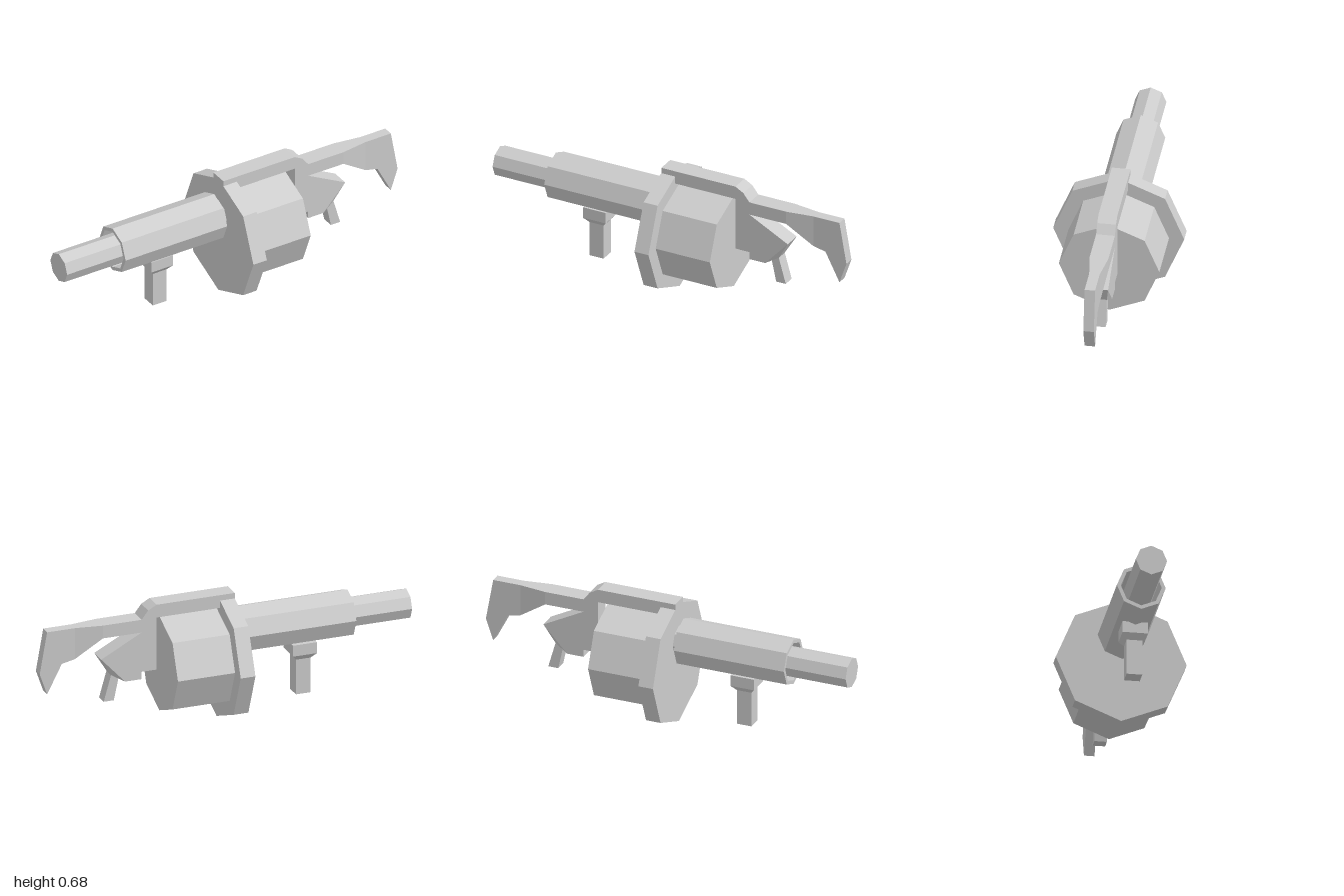
import * as THREE from 'three';

const material = new THREE.MeshStandardMaterial({ color: 0xcccccc, flatShading: true });

function part(name, geometry) {
  const mesh = new THREE.Mesh(geometry, material);
  mesh.name = name;
  return mesh;
}

// Faceted part turned around the x axis; profile holds [radius, x] pairs
function turned(name, profile, y, sides = 8) {
  const geometry = new THREE.LatheGeometry(profile.map(([r, x]) => new THREE.Vector2(r, x)), sides);
  geometry.rotateZ(-Math.PI / 2).translate(0, y, 0);
  return part(name, geometry);
}

const solid = (r, x0, x1) => [[0, x0], [r, x0], [r, x1], [0, x1]];

// Slab mirrored across z = 0: counter-clockwise outline of [x, y, half width],
// with its flat sides given as lists of outline indices
function slab(name, outline, sides) {
  const positions = [];
  const push = (i, s) => positions.push(outline[i][0], outline[i][1], s * outline[i][2]);
  for (const side of sides) {
    const contour = side.map((i) => new THREE.Vector2(outline[i][0], outline[i][1]));
    for (const [a, b, c] of THREE.ShapeUtils.triangulateShape(contour, [])) {
      for (const k of [a, b, c]) push(side[k], 1);
      for (const k of [a, c, b]) push(side[k], -1);
    }
  }
  outline.forEach((_, i) => {
    const j = (i + 1) % outline.length;
    push(i, 1); push(i, -1); push(j, -1);
    push(i, 1); push(j, -1); push(j, 1);
  });
  const geometry = new THREE.BufferGeometry();
  geometry.setAttribute('position', new THREE.Float32BufferAttribute(positions, 3));
  geometry.computeVertexNormals();
  return part(name, geometry);
}

export function createModel() {
  const group = new THREE.Group();
  group.name = 'drumLauncher';

  // Barrel inside a hollow sleeve
  group.add(turned('barrel', solid(0.08, -1, -0.04), 0.46));
  group.add(turned('barrelSleeve',
    [[0.105, -0.68], [0.125, -0.68], [0.125, -0.075], [0.105, -0.075], [0.105, -0.68]], 0.46));

  // Drum with its wide front plate
  group.add(turned('drumPlate', solid(0.335, -0.05, 0.03), 0.335));
  group.add(turned('drum', solid(0.257, 0.02, 0.34), 0.335));

  // Square front grip, flared where it meets the sleeve
  const gripProfile = [[0, 0.07], [0.04, 0.07], [0.04, 0.26], [0.065, 0.29], [0.065, 0.35], [0, 0.35]];
  const grip = new THREE.LatheGeometry(
    gripProfile.map(([h, y]) => new THREE.Vector2(h * Math.SQRT2, y)), 4);
  grip.rotateY(Math.PI / 4).translate(-0.425, 0, 0);
  group.add(part('frontGrip', grip));

  // Top rail, rear grip and stock in one outline of changing width
  const wide = 0.048, leg = 0.032, thin = 0.027;
  const outline = [
    [-0.05, 0.61, wide], [0.375, 0.61, wide], [0.375, 0.325, wide], [0.455, 0.325, wide],
    [0.455, 0.285, wide], [0.545, 0.285, wide],
    [0.57, 0.325, leg], [0.6, 0.185, leg], [0.655, 0.185, leg], [0.615, 0.325, leg],
    [0.675, 0.425, wide], [0.455, 0.54, wide], [0.665, 0.54, wide],
    [0.81, 0.44, thin], [0.88, 0.425, thin], [0.96, 0.27, thin],
    [1, 0.385, thin], [0.96, 0.61, thin], [0.81, 0.61, thin],
    [0.665, 0.61, wide], [0.455, 0.61, wide], [0.42, 0.655, wide],
    [0.375, 0.68, wide], [-0.05, 0.68, wide],
  ];
  group.add(slab('railGripAndStock', outline, [
    [0, 1, 2, 3, 4, 5, 10, 11, 12, 19, 20, 21, 22, 23], // rail and grip body
    [5, 6, 9, 10], // grip taper
    [6, 7, 8, 9], // grip leg
    [12, 13, 18, 19], // stock taper
    [13, 14, 15, 16, 17, 18], // shoulder end
  ]));

  return group;
}
